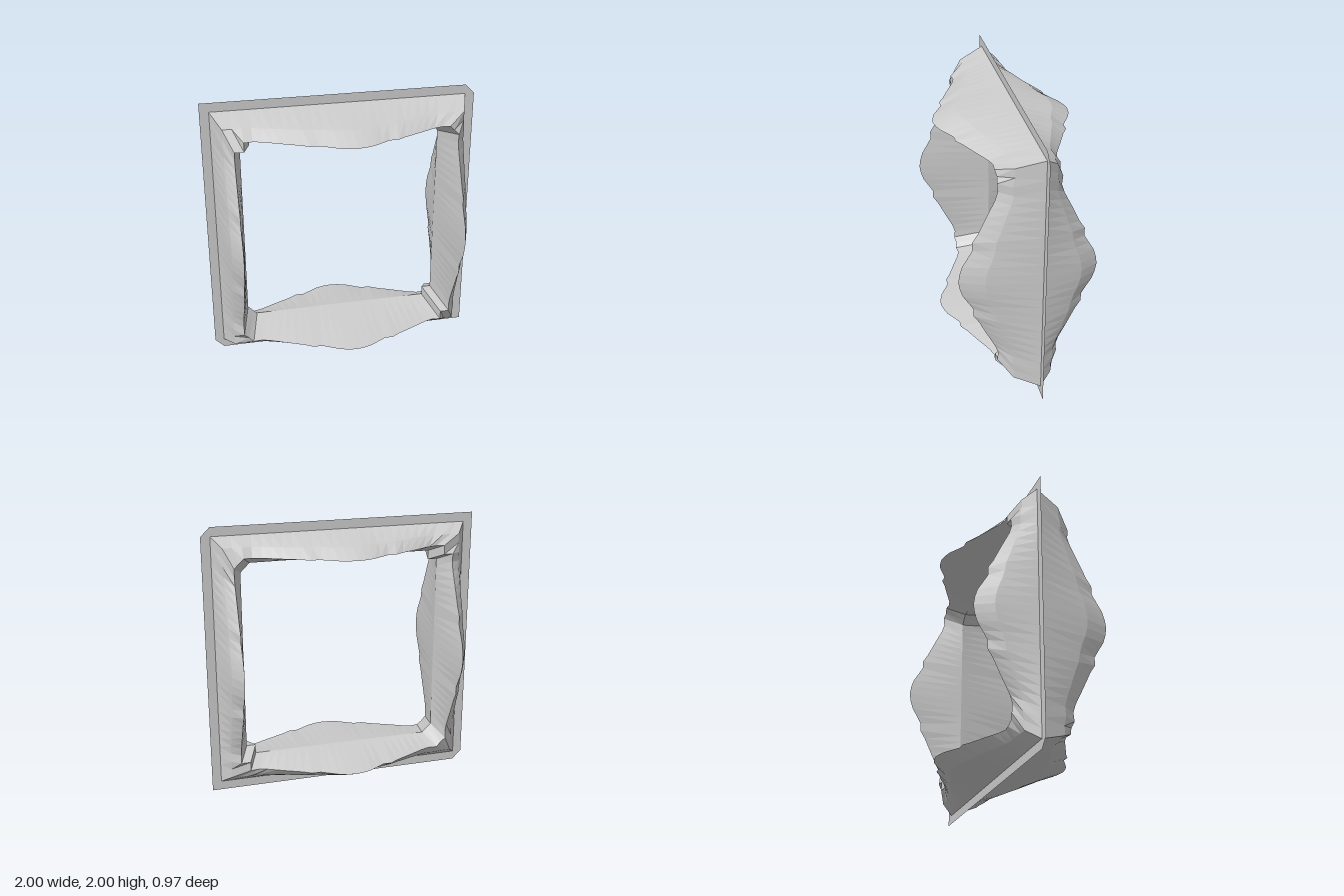
import * as THREE from 'three';

const STEP = 0.067;      // unit of the stepped corners and ring insets
const RIDGE_Z = -0.07;   // plane of the flange and ridge
const SEGMENTS = 24;     // divisions along each beam

// Half depth of a beam at a distance from its middle
const DEPTH = [[0, 0.485], [0.1, 0.47], [0.2, 0.41], [0.24, 0.385], [0.31, 0.385], [0.36, 0.35],
  [0.5, 0.285], [0.6, 0.235], [0.66, 0.21], [0.72, 0.222], [0.8, 0.2], [1, 0.2]];

function halfDepth(t) {
  const i = Math.max(1, DEPTH.findIndex(p => p[0] >= t));
  const [a, ha] = DEPTH[i - 1], [b, hb] = DEPTH[i];
  return ha + (hb - ha) * (t - a) / (b - a);
}

// Closed counter-clockwise loop; corners alternate between chamfer and notch when cut
function squareLoop(half, cut) {
  const points = [], end = half - STEP;
  for (let side = 0; side < 4; side++) {
    const turn = side * Math.PI / 2;
    const add = (x, y) => points.push([
      x * Math.cos(turn) - y * Math.sin(turn),
      x * Math.sin(turn) + y * Math.cos(turn)]);
    for (let k = 0; k <= SEGMENTS; k++) add(half, -end + 2 * end * k / SEGMENTS);
    const corner = !cut ? half : side % 2 === 0 ? half - STEP / 2 : end;
    add(corner, corner);
  }
  return points;
}

// Four lens-shaped beams joined at mitred corners
function beamGeometry() {
  // inset, side (+1 front, -1 back), share of the depth, cut corners
  const rings = [[1, 1, 0, false], [2, 1, 0.69, false], [3, 1, 1, true], [4, 1, 0, true],
    [3, -1, 1, true], [2, -1, 0.69, false], [1, 1, 0, false]];
  const positions = [], index = [];
  let count = 0;
  for (const [inset, sign, share, cut] of rings) {
    const loop = squareLoop(1 - inset * STEP, cut);
    count = loop.length;
    for (const [x, y] of loop) {
      const edge = sign * halfDepth(Math.min(Math.abs(x), Math.abs(y)));
      positions.push(x, y + 1, RIDGE_Z + share * (edge - RIDGE_Z));
    }
  }
  for (let i = 0; i < rings.length - 1; i++) {
    for (let j = 0; j < count; j++) {
      const next = (j + 1) % count;
      const a = i * count + j, b = i * count + next;
      index.push(a, b, b + count, a, b + count, a + count);
    }
  }
  const geometry = new THREE.BufferGeometry();
  geometry.setAttribute('position', new THREE.Float32BufferAttribute(positions, 3));
  geometry.setIndex(index);
  geometry.computeVertexNormals();
  return geometry;
}

// Thin flat border with two chamfered corners
function flangeGeometry() {
  const c = 1 - STEP;
  const shape = new THREE.Shape([[-c, -1], [1, -1], [1, c], [c, 1], [-1, 1], [-1, -c]]
    .map(p => new THREE.Vector2(...p)));
  shape.holes.push(new THREE.Path([[-c, -c], [-c, c], [c, c], [c, -c]]
    .map(p => new THREE.Vector2(...p))));
  return new THREE.ShapeGeometry(shape).translate(0, 1, RIDGE_Z);
}

export function createModel() {
  const group = new THREE.Group();
  group.name = 'squareFrame';
  const material = new THREE.MeshStandardMaterial({
    color: 0xcccccc, flatShading: true, side: THREE.DoubleSide });
  const beams = new THREE.Mesh(beamGeometry(), material);
  beams.name = 'beams';
  const flange = new THREE.Mesh(flangeGeometry(), material);
  flange.name = 'flange';
  group.add(beams, flange);
  return group;
}
